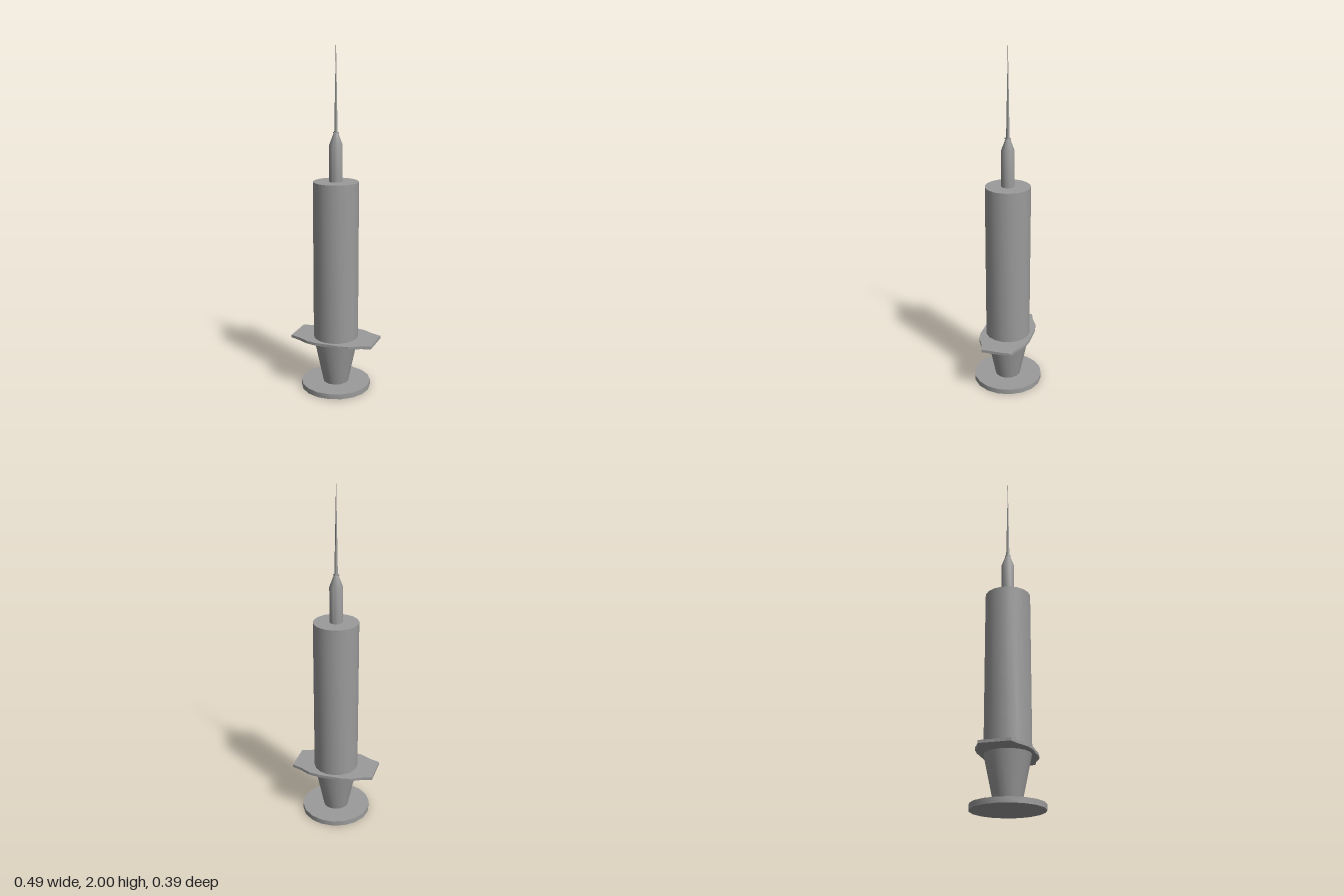
import * as THREE from 'three';
import { toCreasedNormals } from 'three/addons/utils/BufferGeometryUtils.js';

const material = new THREE.MeshStandardMaterial({ color: 0x9b9b9b });

// Turned part from [radius, y] points, with a corner on the x axis
function turned(name, profile, sides, crease = 0.6) {
  const points = profile.map(([r, y]) => new THREE.Vector2(r, y));
  const geometry = new THREE.LatheGeometry(points, sides).rotateY(Math.PI / 2);
  const mesh = new THREE.Mesh(toCreasedNormals(geometry, crease), material);
  mesh.name = name;
  return mesh;
}

// Flat finger grip: one quarter outline mirrored into all four quadrants
function fingerGrip() {
  const quarter = [[0.243, 0.086], [0.187, 0.105], [0.124, 0.138], [0.066, 0.148]];
  const half = [...quarter, ...quarter.map(([x, z]) => [-x, z]).reverse()];
  const outline = [...half, ...half.map(([x, z]) => [x, -z]).reverse()];
  const shape = new THREE.Shape(outline.map(([x, z]) => new THREE.Vector2(x, z)));
  const geometry = new THREE.ExtrudeGeometry(shape, { depth: 0.016, bevelEnabled: false });
  const mesh = new THREE.Mesh(geometry.rotateX(-Math.PI / 2).translate(0, 0.289, 0), material);
  mesh.name = 'fingerGrip';
  return mesh;
}

export function createModel() {
  const group = new THREE.Group();
  group.name = 'syringe';
  group.add(
    turned('thumbRest', [[0, 0], [0.2, 0], [0.2, 0.03], [0, 0.03]], 18),
    turned('plunger', [[0.073, 0.03], [0.127, 0.289]], 18),
    fingerGrip(),
    turned('barrel', [[0.128, 0.3], [0.128, 1.212], [0, 1.212]], 18),
    // Narrow neck closing in a cone below the needle
    turned('nozzle', [[0.037, 1.212], [0.037, 1.415], [0.011, 1.485], [0, 1.485]], 18),
    turned('needleCollar', [[0, 1.479], [0.018, 1.479], [0.018, 1.485], [0, 1.485]], 4),
    // Four-sided needle tapering to a point
    turned('needle', [[0.01, 1.48], [0, 2]], 4),
  );
  return group;
}
